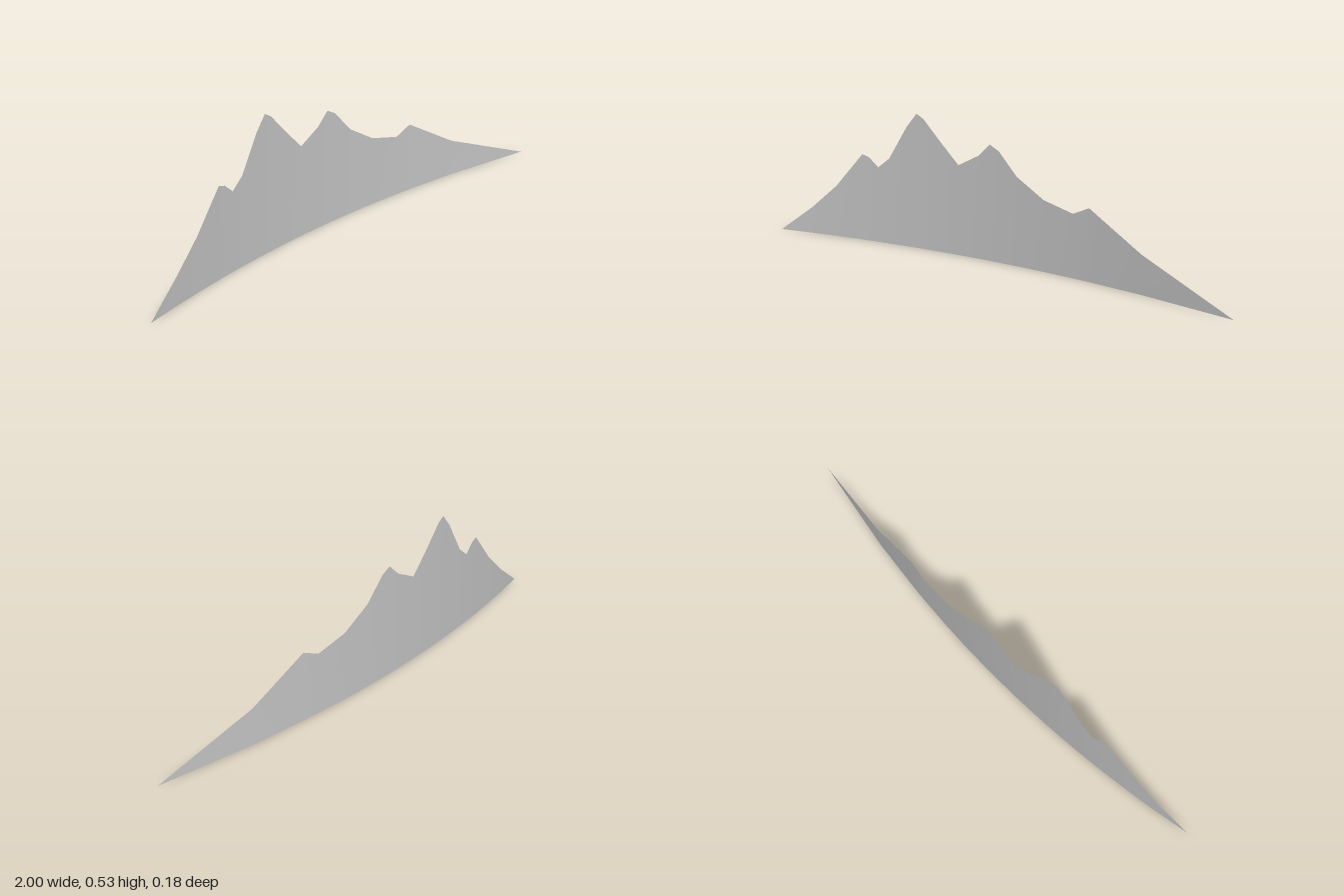
import * as THREE from 'three';

// Ridge line: x and height, from the right end to the left end
const ridge = [
  [-1, 0], [-0.86, 0.107], [-0.75, 0.205], [-0.63, 0.345], [-0.6, 0.335],
  [-0.56, 0.3], [-0.51, 0.34], [-0.43, 0.472], [-0.385, 0.527], [-0.355, 0.51],
  [-0.275, 0.425], [-0.2, 0.35], [-0.11, 0.397], [-0.06, 0.445], [-0.02, 0.425],
  [0.06, 0.34], [0.18, 0.27], [0.31, 0.24], [0.38, 0.272], [0.61, 0.145], [1, 0],
];

// Gentle bow of the sheet, deepest at x = 0.27
const bow = (x) => -0.09 + (x < 0.27 ? 0.1116 : 0.094) * (x - 0.27) ** 2;

// Upright strip from the ground to the ridge line
function ridgeSheet() {
  const positions = [], index = [];
  const last = ridge.length - 1;
  ridge.forEach(([x, y], i) => {
    const z = bow(x);
    positions.push(x, 0, z, x, y, z);
    if (i === last) return;
    const a = i * 2, b = a + 2;
    // The two tapered ends need only one triangle each
    if (i < last - 1) index.push(a, b, b + 1);
    else index.push(a, b, a + 1);
    if (i > 0 && i < last - 1) index.push(a, b + 1, a + 1);
  });
  const geometry = new THREE.BufferGeometry();
  geometry.setAttribute('position', new THREE.Float32BufferAttribute(positions, 3));
  geometry.setIndex(index);
  geometry.computeVertexNormals();
  return geometry;
}

export function createModel() {
  const group = new THREE.Group();
  group.name = 'mountainBackdrop';
  const rock = new THREE.MeshStandardMaterial({ color: 0xc7c7c7, side: THREE.DoubleSide });
  rock.name = 'rock grey';
  const sheet = new THREE.Mesh(ridgeSheet(), rock);
  sheet.name = 'mountainRidge';
  group.add(sheet);
  return group;
}
